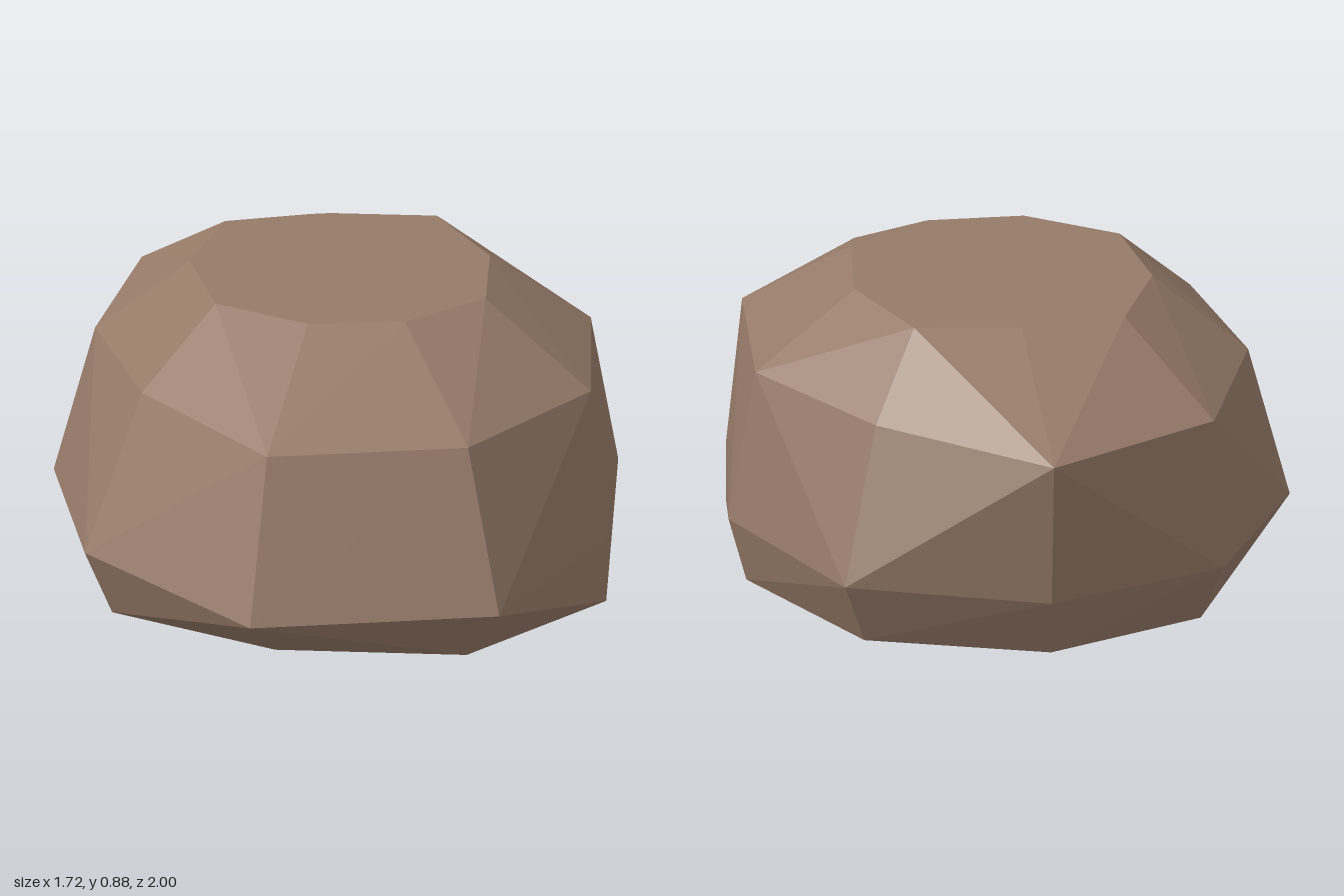
import * as THREE from 'three';
import { ConvexGeometry } from 'three/addons/geometries/ConvexGeometry.js';

// Nine-sided cross-sections [x, z], each starting at the front and turning toward +x
const rings = [
  { y: 0, points: [[0, 0.79], [0.55, 0.61], [0.8, 0.08], [0.74, -0.49], [0.32, -0.85], [-0.19, -0.85], [-0.54, -0.48], [-0.775, 0.03], [-0.48, 0.5]] },
  { y: 0.2, points: [[0, 1], [0.55, 0.61], [0.855, 0.09], [0.83, -0.53], [0.375, -0.945], [-0.195, -0.97], [-0.65, -0.59], [-0.86, 0.02], [-0.69, 0.75]] },
  { y: 0.655, points: [[0.005, 0.79], [0.52, 0.57], [0.775, 0.07], [0.68, -0.455], [0.4, -1], [-0.185, -0.935], [-0.55, -0.52], [-0.655, -0.015], [-0.55, 0.585]] },
  { y: 0.88, points: [[0.03, 0.335], [0.32, 0.285], [0.48, 0], [0.48, -0.34], [0.21, -0.5], [-0.09, -0.585], [-0.32, -0.36], [-0.4, -0.04], [-0.23, 0.22]] },
];

export function createModel() {
  const group = new THREE.Group();
  group.name = 'rock';

  const stone = new THREE.MeshStandardMaterial({ color: 0x967a68 });
  stone.name = 'brown stone';

  // Faceted boulder: the convex skin around the cross-sections, one flat normal per face
  const corners = rings.flatMap(({ y, points }) => points.map(([x, z]) => new THREE.Vector3(x, y, z)));
  const boulder = new THREE.Mesh(new ConvexGeometry(corners), stone);
  boulder.name = 'boulder';
  group.add(boulder);

  return group;
}
